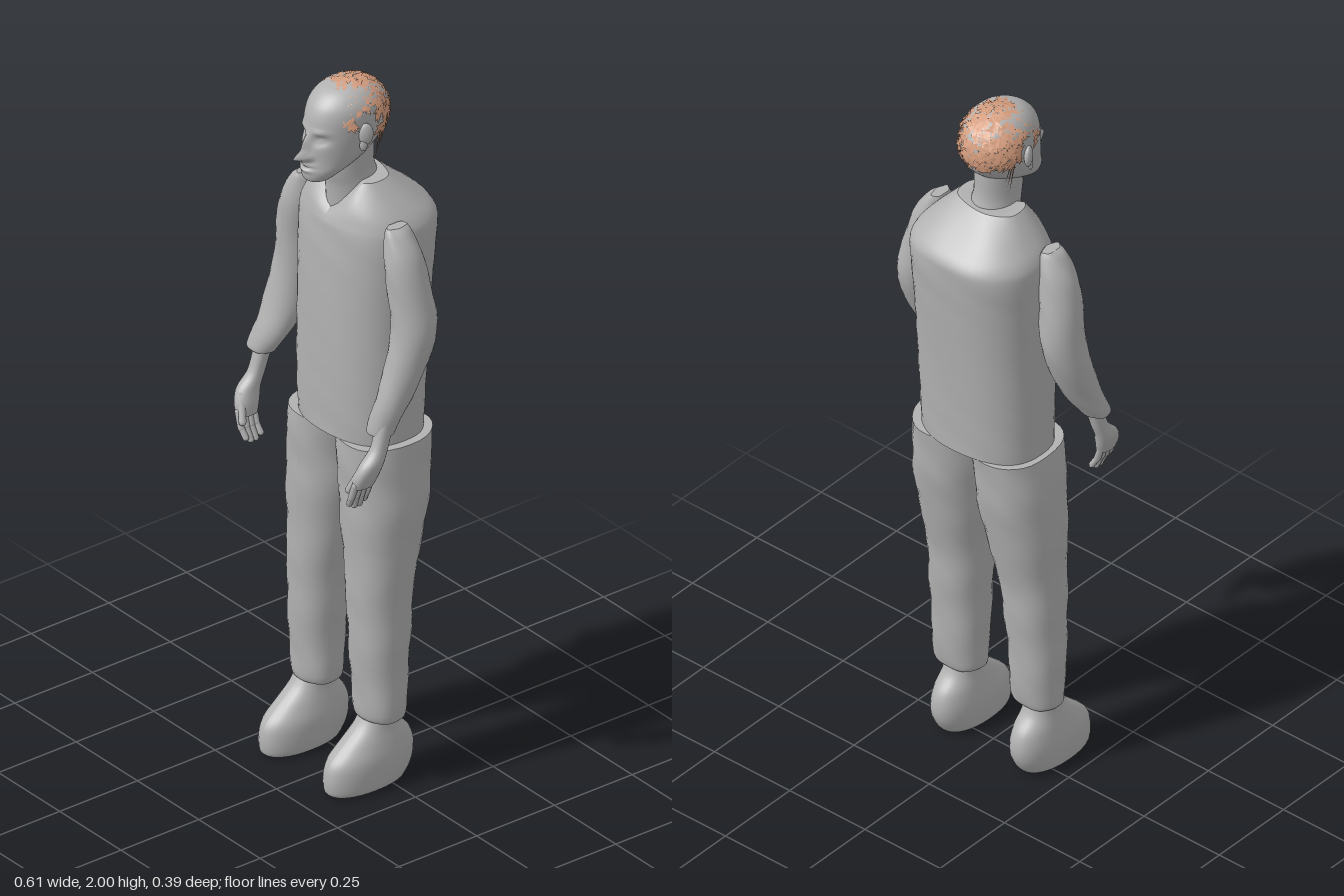
import * as THREE from 'three';

const cloth = new THREE.MeshStandardMaterial({ color: 0xb2b2b2, side: THREE.DoubleSide });
cloth.name = 'plain grey';
const hairMat = new THREE.MeshStandardMaterial({ color: 0xd39b7c, side: THREE.DoubleSide });
hairMat.name = 'light brown hair';

const spline = (a, b, c, d, t) =>
  b + 0.5 * t * (c - a + t * (2 * a - 5 * b + 4 * c - d + t * (3 * (b - c) + d - a)));

// Smooth skin through level sections [y, xMin, xMax, zMin, zMax], listed bottom to top
function loft(name, secs, { segs = 32, steps = 5, power = 2, shape } = {}) {
  const pos = [], idx = [], n = secs.length - 1, rows = n * steps;
  const ring = segs + 1, at = i => secs[Math.min(n, Math.max(0, i))];
  let first, last;
  for (let r = 0; r <= rows; r++) {
    const k = Math.min(n - 1, Math.floor(r / steps)), t = r / steps - k;
    const [y, x0, x1, z0, z1] = at(k).map((v, c) => spline(at(k - 1)[c], v, at(k + 1)[c], at(k + 2)[c], t));
    const mid = [(x0 + x1) / 2, y, (z0 + z1) / 2];
    if (r === 0) first = mid;
    last = mid;
    for (let j = 0; j < ring; j++) {
      const a = (j % segs) / segs * Math.PI * 2, s = Math.sin(a), c = Math.cos(a);
      const p = new THREE.Vector3(
        mid[0] + (x1 - x0) / 2 * Math.sign(s) * Math.abs(s) ** (2 / power), y,
        mid[2] + (z1 - z0) / 2 * Math.sign(c) * Math.abs(c) ** (2 / power));
      if (shape) shape(p, a);
      pos.push(p.x, p.y, p.z);
      if (r < rows && j < segs) {
        const q = r * ring + j;
        idx.push(q, q + 1, q + ring + 1, q, q + ring + 1, q + ring);
      }
    }
  }
  // End caps have their own corners so that the rims stay sharp
  for (const [row, mid, up] of [[0, first, false], [rows, last, true]]) {
    const base = pos.length / 3;
    for (let j = 0; j < ring; j++) pos.push(...pos.slice((row * ring + j) * 3, (row * ring + j) * 3 + 3));
    pos.push(...mid);
    for (let j = 0; j < segs; j++)
      up ? idx.push(base + j, base + j + 1, base + ring) : idx.push(base + j + 1, base + j, base + ring);
  }
  const g = new THREE.BufferGeometry();
  g.setAttribute('position', new THREE.Float32BufferAttribute(pos, 3));
  g.setIndex(idx);
  g.computeVertexNormals();
  const m = new THREE.Mesh(g, cloth);
  m.name = name;
  return m;
}

const bump = (x, y, x0, y0, sx, sy) => Math.exp(-(((x - x0) / sx) ** 2) - ((y - y0) / sy) ** 2);

// Nose, eyes, brow and mouth pushed out of the front of the head
function face(p) {
  if (p.z < 0.05) return;
  const { x, y } = p, ax = Math.abs(x);
  p.z += 0.038 * bump(x, y, 0, 1.815, 0.012, 0.014) + 0.018 * bump(x, y, 0, 1.845, 0.01, 0.026)
    + 0.012 * bump(ax, y, 0.014, 1.812, 0.008, 0.008)
    - 0.016 * bump(ax, y, 0.034, 1.862, 0.016, 0.012) + 0.008 * bump(ax, y, 0.034, 1.861, 0.009, 0.006)
    + 0.005 * bump(ax, y, 0.033, 1.885, 0.02, 0.007)
    + 0.008 * bump(x, y, 0, 1.79, 0.022, 0.006) + 0.008 * bump(x, y, 0, 1.775, 0.02, 0.006)
    - 0.005 * bump(x, y, 0, 1.783, 0.026, 0.003);
}

function capsule(name, a, b, r) {
  const A = new THREE.Vector3(...a), B = new THREE.Vector3(...b), d = B.clone().sub(A);
  const m = new THREE.Mesh(new THREE.CapsuleGeometry(r, d.length(), 4, 10), cloth);
  m.position.copy(A).lerp(B, 0.5);
  m.quaternion.setFromUnitVectors(new THREE.Vector3(0, 1, 0), d.normalize());
  m.name = name;
  return m;
}

// Palm, fingers and thumb hanging from the wrist
function hand(s, name) {
  const g = new THREE.Group();
  g.name = name;
  const sec = (y, a, b, z0, z1) => [y, Math.min(s * a, s * b), Math.max(s * a, s * b), z0, z1];
  g.add(loft('palm', [sec(0.955, 0.212, 0.25, 0.125, 0.185), sec(0.985, 0.215, 0.262, 0.115, 0.185),
    sec(1.02, 0.222, 0.27, 0.105, 0.17), sec(1.06, 0.225, 0.266, 0.09, 0.135), sec(1.13, 0.22, 0.265, 0.07, 0.115)],
  { segs: 20, power: 2.4 }));
  for (let i = 0; i < 4; i++) {
    const z = 0.132 + i * 0.016, low = 0.9 - (i === 1 || i === 2 ? 0.01 : 0);
    g.add(capsule('finger', [s * 0.234, 0.965, z], [s * 0.22, 0.925, z + 0.002], 0.0095));
    g.add(capsule('fingertip', [s * 0.22, 0.925, z + 0.002], [s * 0.206, low, z - 0.002], 0.0085));
  }
  g.add(capsule('thumb', [s * 0.24, 1.01, 0.165], [s * 0.212, 0.945, 0.184], 0.01));
  return g;
}

// Loose triangular tufts over the crown, sides and back of the skull
function hair() {
  let seed = 7;
  const rnd = () => (seed = (seed * 16807) % 2147483647) / 2147483647;
  const pos = [];
  for (let i = 0; i < 1500; i++) {
    const v = rnd() * 1.35 - 0.35, a = rnd() * Math.PI * 2, h = Math.sqrt(1 - v * v);
    const n = new THREE.Vector3(Math.sin(a) * h, v, Math.cos(a) * h);
    const p = new THREE.Vector3(n.x * 0.09, 1.897 + n.y * 0.094, 0.018 + n.z * 0.108);
    const ax = Math.abs(p.x);
    const line = p.z > 0.055 ? 1.955 - Math.max(0, ax - 0.035) * 1.3 : p.z > 0 ? 1.93 : 1.862;
    if (p.y < line || rnd() < 0.35) continue;
    const t = new THREE.Vector3(-n.z, 0, n.x).normalize().applyAxisAngle(n, rnd() * Math.PI);
    const b = new THREE.Vector3().crossVectors(n, t);
    const len = 0.013 + rnd() * 0.008, wid = 0.005 + rnd() * 0.005;
    for (const [u, w, up] of [[-len, -wid, 0.002], [len, -wid * 0.4, 0.003 + rnd() * 0.005], [0, wid, 0.005]]) {
      const q = p.clone().addScaledVector(t, u).addScaledVector(b, w).addScaledVector(n, up);
      pos.push(q.x, Math.min(q.y, 2), q.z);
    }
  }
  // Thin locks behind the ears
  for (const s of [-1, 1]) for (let i = 0; i < 3; i++) {
    const z = -0.012 - i * 0.008;
    pos.push(s * 0.083, 1.87, z, s * 0.083, 1.87, z - 0.007, s * 0.066, 1.77 + i * 0.02, z - 0.004);
  }
  const g = new THREE.BufferGeometry();
  g.setAttribute('position', new THREE.Float32BufferAttribute(pos, 3));
  g.computeVertexNormals();
  const m = new THREE.Mesh(g, hairMat);
  m.name = 'hair';
  return m;
}

export function createModel() {
  const model = new THREE.Group();
  model.name = 'standing man';

  // Loose top with sloping shoulders and a V-shaped neckline
  model.add(loft('torso', [
    [1.0, -0.178, 0.18, -0.152, 0.11], [1.12, -0.18, 0.182, -0.158, 0.113], [1.3, -0.182, 0.184, -0.17, 0.113],
    [1.48, -0.186, 0.188, -0.186, 0.11], [1.58, -0.186, 0.188, -0.195, 0.104], [1.62, -0.175, 0.177, -0.188, 0.098],
    [1.66, -0.145, 0.147, -0.145, 0.085], [1.72, -0.095, 0.09, -0.072, 0.05],
  ], { segs: 48, power: 2.4, shape: (p, a) => {
    p.z += 0.002 * Math.sin(a * 5 + p.y * 37) * Math.sin(p.y * 23);
    if (p.z > 0.02 && p.y > 1.6) p.y -= 0.06 * Math.max(0, 1 - Math.abs(p.x) / 0.075) * (p.y - 1.6) / 0.12;
  } }));

  // Trouser legs
  const folds = (p, a) => {
    const k = 0.0025 * Math.sin(p.y * 42 + a * 2) * Math.sin(a * 3 + p.y * 9);
    p.x += k * Math.sin(a);
    p.z += k * Math.cos(a);
  };
  model.add(loft('left trouser leg', [
    [0.19, 0.06, 0.175, -0.035, 0.055], [0.205, 0.045, 0.19, -0.046, 0.07], [0.3, 0.042, 0.193, -0.055, 0.078],
    [0.45, 0.036, 0.196, -0.066, 0.087], [0.6, 0.026, 0.2, -0.08, 0.092], [0.78, 0.004, 0.213, -0.118, 0.1],
    [0.9, -0.002, 0.21, -0.135, 0.105], [1.0, -0.004, 0.202, -0.145, 0.108],
  ], { power: 2.3, shape: folds }));
  model.add(loft('right trouser leg', [
    [0.19, -0.195, -0.085, -0.035, 0.055], [0.205, -0.206, -0.068, -0.046, 0.07], [0.3, -0.209, -0.065, -0.055, 0.078],
    [0.45, -0.21, -0.055, -0.066, 0.087], [0.6, -0.21, -0.035, -0.08, 0.092], [0.78, -0.215, -0.004, -0.118, 0.1],
    [0.9, -0.208, 0.002, -0.135, 0.105], [1.0, -0.196, 0.004, -0.145, 0.108],
  ], { power: 2.3, shape: folds }));

  // Shoes, given as half width and depth about each foot's middle
  for (const [name, x] of [['left shoe', 0.113], ['right shoe', -0.15]])
    model.add(loft(name, [[0, 0.05, -0.05, 0.165], [0.012, 0.06, -0.065, 0.176], [0.05, 0.064, -0.086, 0.178],
      [0.09, 0.063, -0.09, 0.166], [0.13, 0.055, -0.078, 0.125], [0.17, 0.046, -0.045, 0.08], [0.21, 0.042, -0.03, 0.055]]
      .map(([y, w, z0, z1]) => [y, x - w, x + w, z0, z1]), { power: 2.2 }));

  // Sleeves, narrowing to flat shoulder ends
  model.add(loft('left sleeve', [
    [1.09, 0.196, 0.262, 0.062, 0.122], [1.1, 0.19, 0.266, 0.055, 0.127], [1.2, 0.197, 0.285, 0.005, 0.105],
    [1.34, 0.192, 0.304, -0.055, 0.066], [1.46, 0.178, 0.288, -0.056, 0.062], [1.56, 0.164, 0.258, -0.045, 0.06],
    [1.62, 0.164, 0.222, -0.028, 0.05], [1.64, 0.17, 0.2, -0.02, 0.04],
  ], { shape: folds }));
  model.add(loft('right sleeve', [
    [1.115, -0.294, -0.225, 0.062, 0.12], [1.125, -0.302, -0.215, 0.052, 0.125], [1.2, -0.297, -0.188, 0.005, 0.105],
    [1.34, -0.29, -0.178, -0.055, 0.066], [1.46, -0.278, -0.168, -0.056, 0.062], [1.56, -0.258, -0.156, -0.045, 0.06],
    [1.62, -0.222, -0.158, -0.028, 0.05], [1.64, -0.198, -0.168, -0.02, 0.04],
  ], { shape: folds }));
  model.add(hand(1, 'left hand'), hand(-1, 'right hand'));
  model.getObjectByName('right hand').position.x = -0.01;

  // Neck and head
  model.add(loft('neck', [[1.62, -0.065, 0.065, -0.075, 0.075], [1.7, -0.06, 0.06, -0.065, 0.08],
    [1.75, -0.056, 0.056, -0.052, 0.09], [1.83, -0.058, 0.058, -0.05, 0.09]]));
  model.add(loft('head', [
    [1.737, 0.018, 0.105, 0.142], [1.745, 0.036, 0.08, 0.156], [1.77, 0.056, 0.03, 0.16], [1.8, 0.069, -0.03, 0.154],
    [1.84, 0.079, -0.075, 0.152], [1.88, 0.085, -0.091, 0.147], [1.92, 0.087, -0.09, 0.139],
    [1.95, 0.08, -0.077, 0.124], [1.975, 0.06, -0.05, 0.096], [1.988, 0.034, -0.02, 0.062], [1.992, 0.008, 0.01, 0.03],
  ].map(([y, w, z0, z1]) => [y, -w, w, z0, z1]), { segs: 80, steps: 7, shape: face }));

  // Ears: a shell with a smaller lobe
  for (const s of [-1, 1])
    for (const [name, y, z, r] of [['ear', 1.872, 0.032, 0.026], ['ear lobe', 1.842, 0.04, 0.014]]) {
      const ear = new THREE.Mesh(new THREE.SphereGeometry(r, 16, 12), cloth);
      ear.name = name;
      ear.scale.set(0.42, 1.2, 0.75);
      ear.position.set(s * 0.089, y, z);
      ear.rotation.y = s * -0.45;
      model.add(ear);
    }
  model.add(hair());
  return model;
}
